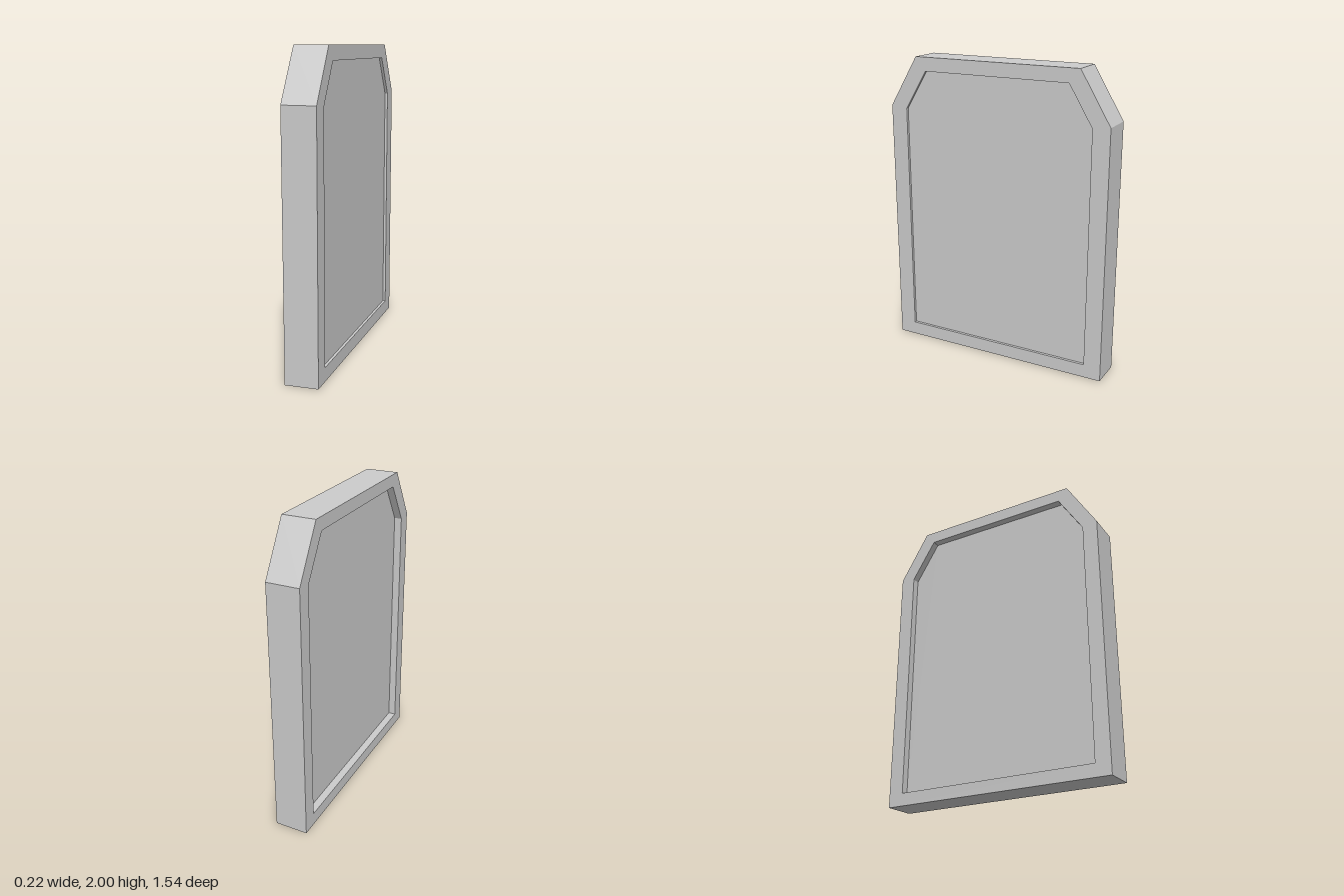
import * as THREE from 'three';

// Mirrored six-sided outline in the z-y plane, counter-clockwise seen from +x
function ring(x, halfWidth, bottom, shoulder, halfTop, top) {
  const half = [[halfWidth, bottom], [halfWidth, shoulder], [halfTop, top]];
  const right = half.map(([z, y]) => new THREE.Vector3(x, y, -z));
  const left = half.map(([z, y]) => new THREE.Vector3(x, y, z)).reverse();
  return [...right, ...left];
}

// Skin consecutive rings and close the first and last with flat panels
function skin(rings) {
  const points = [];
  const n = rings[0].length;
  for (let r = 0; r < rings.length - 1; r++) {
    const a = rings[r], b = rings[r + 1];
    for (let i = 0; i < n; i++) {
      const j = (i + 1) % n;
      points.push(a[i], b[i], a[j], a[j], b[i], b[j]);
    }
  }
  const first = rings[0], last = rings[rings.length - 1];
  for (let i = 1; i < n - 1; i++) {
    points.push(first[0], first[i], first[i + 1]);
    points.push(last[0], last[i + 1], last[i]);
  }
  const geometry = new THREE.BufferGeometry().setFromPoints(points);
  geometry.computeVertexNormals();
  return geometry;
}

export function createModel() {
  const group = new THREE.Group();
  group.name = 'recessedPanel';
  const material = new THREE.MeshStandardMaterial({ color: 0xcccccc, flatShading: true });

  const leftInset = [0.655, 0.095, 1.655, 0.5, 1.91];
  const rightInset = [0.67, 0.083, 1.655, 0.505, 1.918];
  const slab = new THREE.Mesh(skin([
    // shallow recess on the +x face
    ring(0.09, ...leftInset),
    ring(0.108, ...leftInset),
    // outer body, with a very slightly sloping base
    ring(0.108, 0.77, 0.005, 1.67, 0.57, 2),
    ring(-0.108, 0.77, 0, 1.67, 0.57, 2),
    // deeper recess on the -x face
    ring(-0.108, ...rightInset),
    ring(-0.058, ...rightInset),
  ]), material);
  slab.name = 'slab';
  group.add(slab);
  return group;
}
